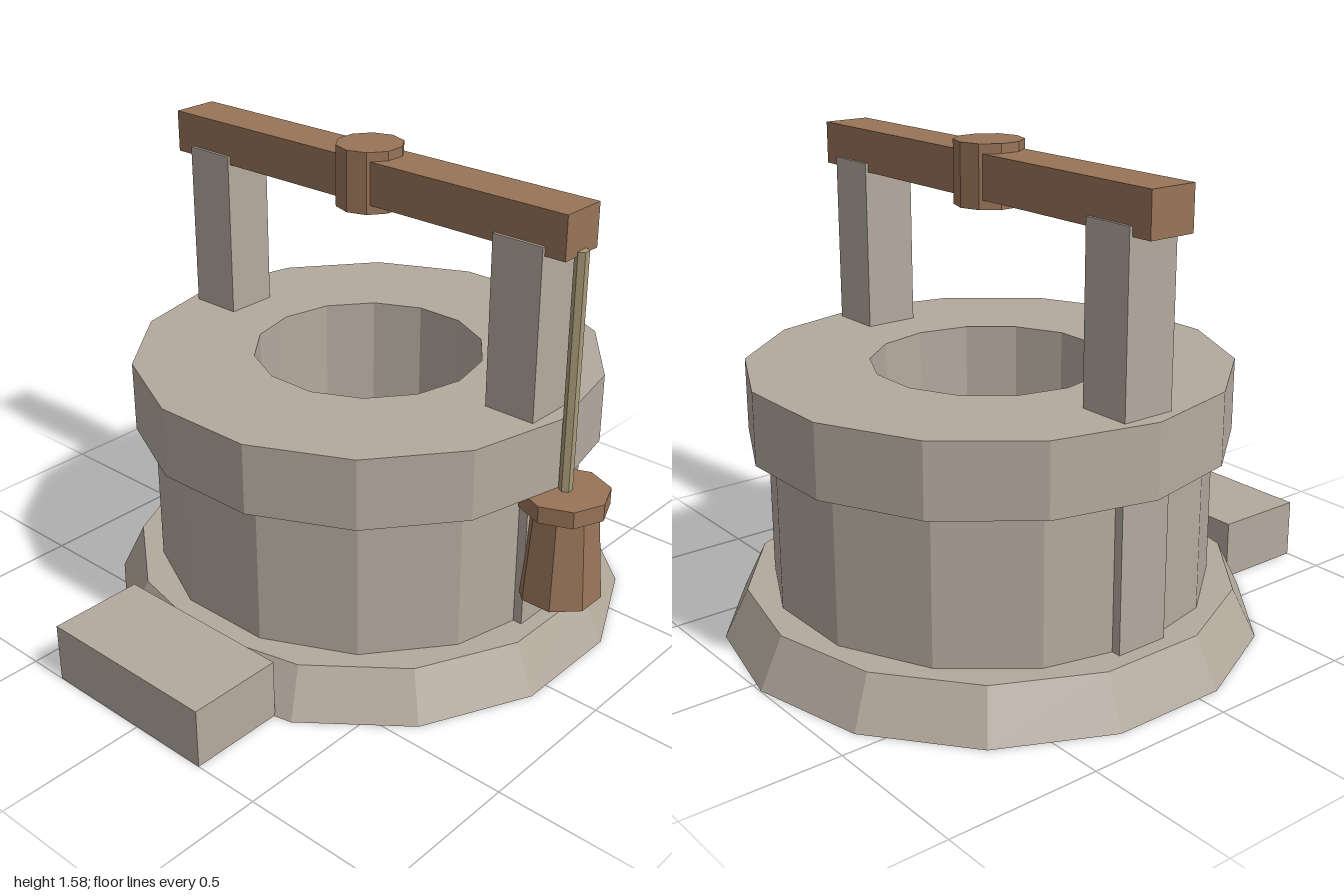
import * as THREE from 'three';

export function createModel() {
  const root = new THREE.Group();
  root.name = 'well';

  const material = (name, color) => {
    const m = new THREE.MeshStandardMaterial({ color, flatShading: true });
    m.name = name;
    return m;
  };
  const stone = material('stone', 0xb4aa9e);
  const wood = material('wood', 0x987458);
  const rope = material('rope', 0xa89a78);
  const water = material('water', 0x669496);

  // the well shaft's axis; parts below are placed relative to it
  const well = new THREE.Group();
  well.name = 'wellBody';
  well.position.set(-0.045, 0, -0.12);
  root.add(well);

  const add = (name, geometry, mat, x, y, z) => {
    const mesh = new THREE.Mesh(geometry, mat);
    mesh.name = name;
    mesh.position.set(x, y, z);
    well.add(mesh);
    return mesh;
  };
  const box = (name, mat, w, h, d, x, y0, z) =>
    add(name, new THREE.BoxGeometry(w, h, d), mat, x, y0 + h / 2, z);
  const cylinder = (name, mat, rTop, rBottom, y0, y1, sides, x = 0) =>
    add(name, new THREE.CylinderGeometry(rTop, rBottom, y1 - y0, sides), mat, x, (y0 + y1) / 2, 0);
  // hollow ring with its corners on the x axis
  const ring = (name, inner, outer, y0, y1) => {
    const profile = [[inner, y0], [outer, y0], [outer, y1], [inner, y1], [inner, y0]]
      .map(([r, y]) => new THREE.Vector2(r, y));
    add(name, new THREE.LatheGeometry(profile, 14), stone, 0, 0, 0).rotation.y = Math.PI / 2;
  };

  // stonework
  cylinder('base', stone, 0.8, 0.878, 0, 0.16, 14);
  ring('wall', 0.382, 0.718, 0.16, 0.645);
  ring('rim', 0.382, 0.78, 0.645, 0.88);
  box('step', stone, 0.64, 0.2, 0.32, 0, 0, 0.96);
  cylinder('waterSurface', water, 0.357, 0.357, 0.34, 0.345, 12);

  // posts and crossbeam
  for (const [name, side] of [['leftPost', 1], ['rightPost', -1]]) {
    box(name, stone, 0.178, 1.28, 0.18, side * 0.64, 0.16, 0);
  }
  box('crossbeam', wood, 1.6, 0.14, 0.16, 0, 1.41, 0);
  cylinder('beamHub', wood, 0.11, 0.11, 1.38, 1.58, 10);

  // bucket hanging on the left end of the beam
  const bx = 0.802;
  cylinder('rope', rope, 0.022, 0.022, 0.63, 1.425, 6, bx);
  cylinder('bucketRim', wood, 0.143, 0.143, 0.588, 0.645, 8, bx);
  cylinder('bucket', wood, 0.11, 0.136, 0.28, 0.59, 8, bx).rotation.y = Math.PI / 8;

  return root;
}
